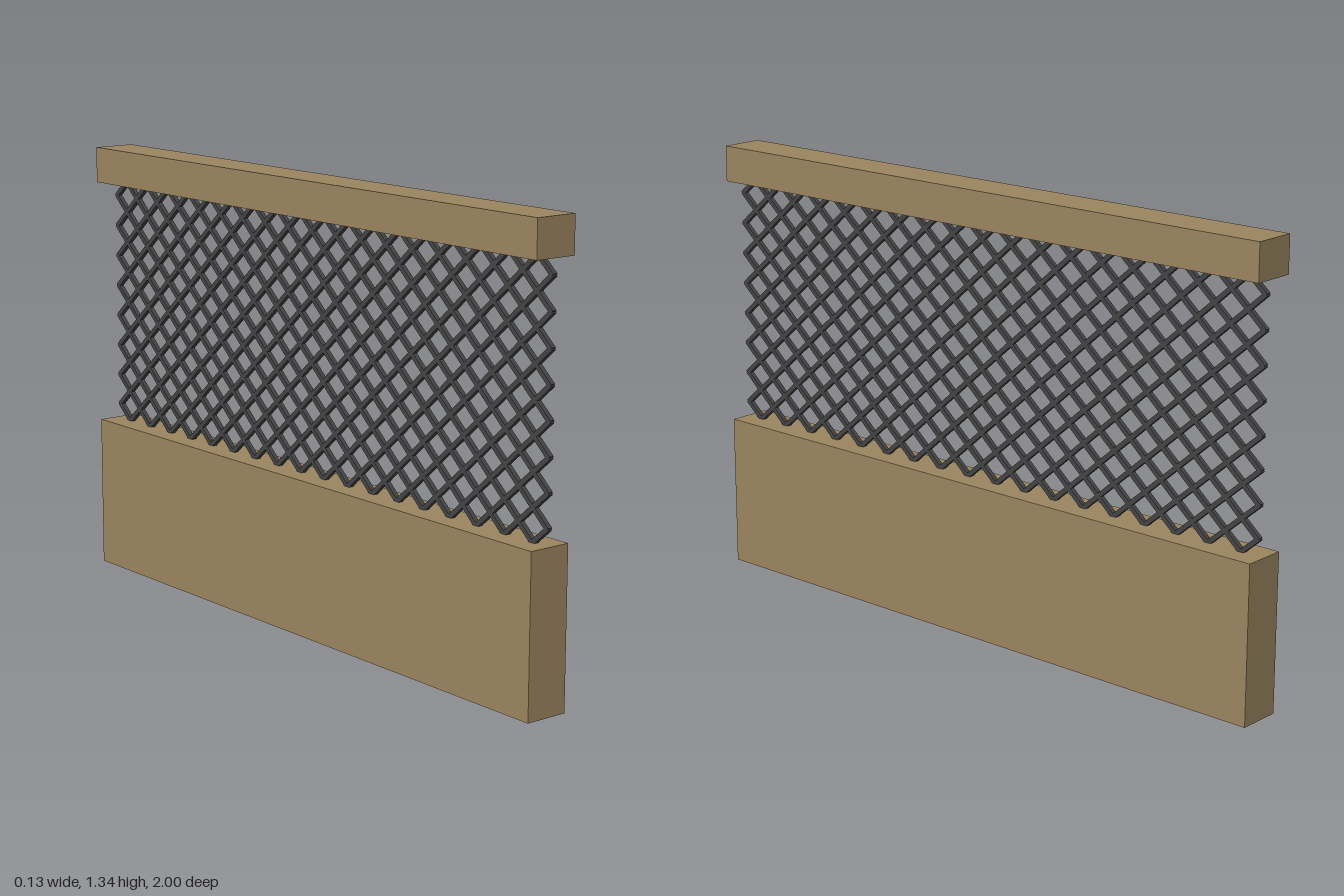
import * as THREE from 'three';

export function createModel() {
  const group = new THREE.Group();
  group.name = 'latticeRailing';
  const wood = new THREE.MeshStandardMaterial({ color: 0x9b8560 });
  const metal = new THREE.MeshStandardMaterial({ color: 0x444444 });

  // Solid beams below and above the mesh
  const beam = (name, y0, y1) => {
    const m = new THREE.Mesh(new THREE.BoxGeometry(0.132, y1 - y0, 2), wood);
    m.position.y = (y0 + y1) / 2;
    m.name = name;
    group.add(m);
  };
  beam('baseWall', 0, 0.468);
  beam('topRail', 1.228, 1.337);

  // Diamond wire mesh: straight bars in two directions, clipped to the opening
  const lattice = new THREE.Group();
  lattice.name = 'wireLattice';
  group.add(lattice);
  const zMin = -0.98, zMax = 0.993, yMin = 0.468, yMax = 1.232;
  const cellW = (zMax - zMin) / 18, cellH = (yMax - yMin) / 8;
  const slope = cellH / cellW, thick = 0.014;
  for (const dir of [1, -1]) {
    for (let k = -18; k < 26; k++) {
      // Height of the bar at zMin (rising) or zMax (falling)
      const yStart = yMin + (k + 0.5) * cellH;
      const t0 = Math.max(0, (yMin - yStart) / slope);
      const t1 = Math.min(zMax - zMin, (yMax - yStart) / slope);
      if (t1 - t0 < 0.01) continue;
      const mid = (t0 + t1) / 2;
      const length = (t1 - t0) * Math.hypot(1, slope);
      const bar = new THREE.Mesh(new THREE.BoxGeometry(thick, thick, length + 0.006), metal);
      bar.position.set(0, yStart + slope * mid, dir > 0 ? zMin + mid : zMax - mid);
      bar.rotation.x = -dir * Math.atan(slope);
      bar.name = dir > 0 ? 'risingWire' : 'fallingWire';
      lattice.add(bar);
    }
  }
  return group;
}
